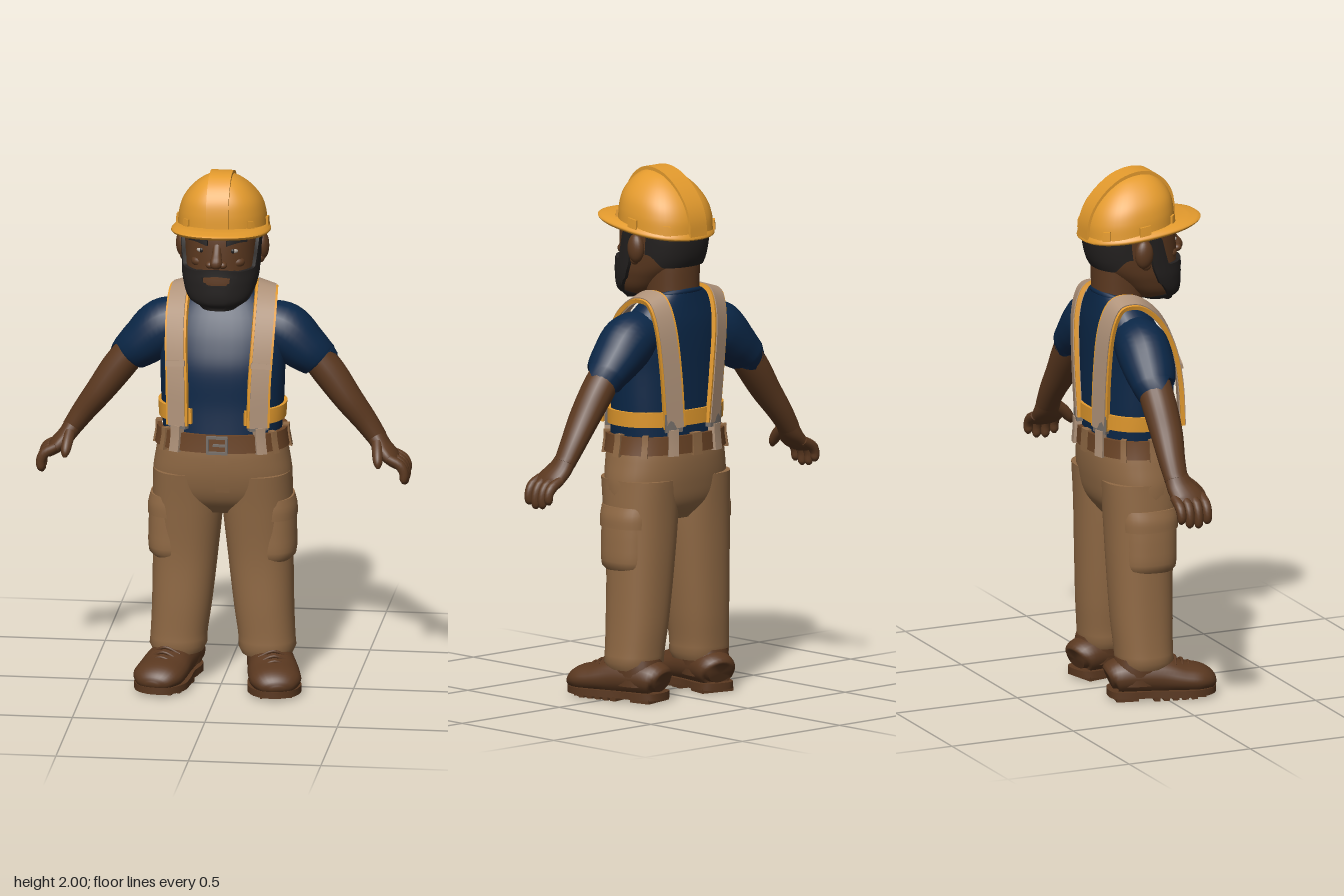
import * as THREE from 'three';
import { toCreasedNormals } from 'three/addons/utils/BufferGeometryUtils.js';

const V = (x, y, z) => new THREE.Vector3(x, y, z);
const clamp = THREE.MathUtils.clamp, step = THREE.MathUtils.smoothstep;
const paint = (name, color) => Object.assign(new THREE.MeshStandardMaterial({ color }), { name });

// smooth interpolation of rows keyed by their first column
function at(rows, k) {
  const n = rows.length - 1;
  k = clamp(k, rows[0][0], rows[n][0]);
  let i = 0;
  while (i < n - 1 && k > rows[i + 1][0]) i++;
  const slope = (j, c) => {
    const a = rows[Math.max(j - 1, 0)], b = rows[Math.min(j + 1, n)];
    return (b[c] - a[c]) / (b[0] - a[0]);
  };
  const d = rows[i + 1][0] - rows[i][0], t = (k - rows[i][0]) / d, t2 = t * t, t3 = t2 * t;
  return rows[i].map((v, c) => v * (2 * t3 - 3 * t2 + 1) + rows[i + 1][c] * (3 * t2 - 2 * t3)
    + d * (slope(i, c) * (t3 - 2 * t2 + t) + slope(i + 1, c) * (t3 - t2)));
}

// surface from a grid of points
function grid(nu, nv, fn) {
  const pos = [], idx = [], w = nu + 1;
  for (let j = 0; j <= nv; j++) for (let i = 0; i <= nu; i++) pos.push(...fn(i, j).toArray());
  for (let j = 0; j < nv; j++) for (let i = 0; i < nu; i++) {
    const a = j * w + i;
    idx.push(a, a + 1, a + w + 1, a, a + w + 1, a + w);
  }
  const g = new THREE.BufferGeometry();
  g.setAttribute('position', new THREE.Float32BufferAttribute(pos, 3));
  return g.setIndex(idx);
}

const round = (c) => Math.sign(c) * Math.abs(c) ** (2 / 2.3);
// point on a body of horizontal sections [y, cx, cz, rx, rz]; angle 0 is the front
function onBody(rows, y, a, off = 0) {
  const [, cx, cz, rx, rz] = at(rows, y);
  return V(cx + (rx + off) * round(Math.sin(a)), y, cz + (rz + off) * round(Math.cos(a)));
}
// closed body of horizontal sections
function body(rows, nu = 40, nv = 28) {
  const y0 = rows[0][0], y1 = rows[rows.length - 1][0];
  return grid(nu, nv + 2, (i, j) => {
    const y = y0 + (y1 - y0) * clamp((j - 1) / nv, 0, 1);
    if (j === 0 || j === nv + 2) { const s = at(rows, y); return V(s[1], y, s[2]); }
    return onBody(rows, y, (i % nu) / nu * 2 * Math.PI);
  });
}
// raised plate lying on a body; lo and hi may depend on the angle
function patch(rows, a0, a1, lo, hi, off, nu = 12, nv = 6) {
  const val = (f, a) => (typeof f === 'function' ? f(a) : f);
  return grid(nu + 2, nv + 2, (i, j) => {
    const edge = i === 0 || j === 0 || i === nu + 2 || j === nv + 2;
    const a = a0 + (a1 - a0) * clamp((i - 1) / nu, 0, 1);
    const y = THREE.MathUtils.lerp(val(lo, a), val(hi, a), clamp((j - 1) / nv, 0, 1));
    return onBody(rows, y, a, edge ? -0.008 : off);
  });
}
// sweep along points [x, y, z, r across, r along ref]; four sides make a flat strap
function sweep(pts, ref = V(0, 0, 1), nu = 20, per = 5, tilt = 0) {
  const rows = pts.map((p, i) => [i, ...p]), n = pts.length - 1, nv = n * per, flat = nu === 4;
  return grid(nu, nv + 2, (i, j) => {
    const k = clamp((j - 1) / nv, 0, 1) * n, s = at(rows, k), c = V(s[1], s[2], s[3]);
    if (j === 0 || j === nv + 2) return c;
    const p = at(rows, Math.max(k - 0.05, 0)), q = at(rows, Math.min(k + 0.05, n));
    const t = V(q[1] - p[1], q[2] - p[2], q[3] - p[3]).normalize();
    const e1 = ref.clone().addScaledVector(t, -ref.dot(t)).normalize();
    const e2 = t.clone().cross(e1);
    e1.applyAxisAngle(t, tilt); e2.applyAxisAngle(t, tilt);
    const a = (i % nu) / nu * 2 * Math.PI + (flat ? Math.PI / 4 : 0), m = flat ? Math.SQRT2 : 1;
    return c.addScaledVector(e1, Math.cos(a) * s[5] * m).addScaledVector(e2, Math.sin(a) * s[4] * m);
  });
}
const ball = (x, y, z, a, b, c) => new THREE.SphereGeometry(1, 20, 14).scale(a, b, c).translate(x, y, z);
const box = (x, y, z, w, h, d) => new THREE.BoxGeometry(w, h, d).translate(x, y, z);

export function createModel() {
  const yellow = paint('safety yellow', 0xe39a2d), navy = paint('navy cloth', 0x0b2747);
  const skin = paint('skin', 0x5c3920), khaki = paint('khaki cloth', 0x916a45);
  const boot = paint('boot leather', 0x5a3820), leather = paint('belt leather', 0x6b4426);
  const webbing = paint('strap webbing', 0xb0937a), hair = paint('black hair', 0x242120);
  const metal = paint('dull metal', 0x77706a), white = paint('eye white', 0xb8aea4);
  const model = new THREE.Group(), X = V(1, 0, 0);

  const add = (name, geo, mat) => {
    const g = toCreasedNormals(geo.scale(100, 100, 100), 0.85).scale(0.01, 0.01, 0.01);
    const mesh = new THREE.Mesh(g, mat);
    mesh.name = name;
    model.add(mesh);
    return g;
  };
  // adds a left part and its mirrored right part
  const pair = (name, geo, mat) => {
    const g = add('left ' + name, geo, mat).clone();
    for (const key of ['position', 'normal']) {
      const b = g.attributes[key], v = [0, 1, 2].map(() => V());
      for (let i = 0; i < b.count; i += 3) {
        v.forEach((p, k) => p.fromBufferAttribute(b, i + k));
        [0, 2, 1].forEach((s, k) => b.setXYZ(i + k, -v[s].x, v[s].y, v[s].z));
      }
    }
    const mesh = new THREE.Mesh(g, mat);
    mesh.name = 'right ' + name;
    model.add(mesh);
  };

  // trousers
  const hips = [[.68, 0, -.055, .2, .09], [.74, 0, -.052, .252, .135], [.82, 0, -.048, .262, .158],
    [.91, 0, -.047, .25, .167], [.99, 0, -.047, .236, .163]];
  const leg = [[.12, .168, -.055, .095, .098], [.14, .168, -.055, .107, .107], [.18, .166, -.057, .106, .108],
    [.3, .155, -.06, .112, .115], [.5, .142, -.062, .122, .122], [.7, .132, -.055, .132, .137], [.84, .13, -.05, .13, .152]];
  const pocket = [[.49, .185, -.05, .07, .09], [.51, .188, -.05, .088, .106], [.6, .188, -.05, .091, .11], [.7, .184, -.05, .09, .112]];
  const flap = [[.66, .185, -.05, .096, .116], [.7, .184, -.05, .096, .118], [.74, .18, -.05, .09, .116]];
  add('trouser hips', body(hips), khaki);
  add('trouser fly', patch(hips, -.02, .13, .78, .94, .004), khaki);
  pair('trouser leg', body(leg), khaki);
  pair('thigh pocket', body(pocket, 32, 10), khaki);
  pair('pocket flap', body(flap, 32, 6), khaki);

  // belt
  add('belt', patch(hips, 0, 2 * Math.PI, .94, 1.008, .009, 48, 2), leather);
  for (const a of [.95, 1.6, 2.2]) pair('belt loop', patch(hips, a - .06, a + .06, .93, 1.015, .016, 3, 3), khaki);
  add('rear belt loop', patch(hips, Math.PI - .06, Math.PI + .06, .93, 1.015, .016, 3, 3), khaki);
  for (const s of [-1, 1]) {
    add('buckle bar', box(0, .972 + s * .03, .132, .08, .01, .012), metal);
    add('buckle side', box(s * .036, .972, .132, .01, .06, .012), metal);
  }
  add('buckle pin', box(.01, .972, .132, .05, .008, .012), metal);

  // shirt
  const torso = [[.98, 0, -.045, .222, .158], [1.1, 0, -.05, .23, .153], [1.25, 0, -.053, .235, .15],
    [1.35, 0, -.068, .236, .135], [1.43, 0, -.085, .214, .115], [1.49, 0, -.1, .17, .092], [1.54, 0, -.11, .115, .075]];
  add('shirt body', body(torso), navy);
  pair('sleeve', sweep([[.14, 1.4, -.09, .085, .085], [.225, 1.368, -.088, .106, .102], [.3, 1.305, -.092, .092, .098],
    [.35, 1.262, -.1, .077, .084], [.357, 1.255, -.1, .072, .078]]), navy);
  add('collar', new THREE.TorusGeometry(.104, .012, 10, 40).rotateX(Math.PI / 2).scale(1.08, 1, .9).rotateX(.33)
    .translate(0, 1.518, -.088), navy);

  // suspenders with bright edging, over the shoulder
  const path = [[.152, 1.04, .108], [.155, 1.2, .098], [.162, 1.34, .068], [.165, 1.45, .016], [.163, 1.515, -.05],
    [.158, 1.535, -.11], [.15, 1.515, -.165], [.138, 1.42, -.197], [.118, 1.25, -.205], [.098, 1.04, -.203]];
  pair('suspender edging', sweep(path.map((p) => [...p, .008, .043]), X, 4, 5, .3), yellow);
  pair('suspender', sweep(path.map((p) => [...p, .012, .034]), X, 4, 5, .3), webbing);
  pair('chest clip', sweep([[.158, 1.265, .09, .016, .038], [.159, 1.285, .085, .016, .038]], X, 4, 2, .3), webbing);
  add('waist band', patch(torso, .38, 2 * Math.PI - .38, 1.045, 1.102, .012, 48, 2), yellow);
  for (const [a, w] of [[.64, .18], [2.74, .16]]) {
    pair('suspender buckle', patch(torso, a - w, a + w, 1.025, 1.095, .022, 6, 3), metal);
    pair('suspender tab', patch(hips, a - .09, a + .09, .935, 1.035, .019, 5, 3), webbing);
  }

  // arms and hands
  pair('arm', sweep([[.33, 1.29, -.1, .06, .065], [.4, 1.2, -.1, .062, .066], [.4675, 1.105, -.1, .054, .062],
    [.53, 1.02, -.108, .045, .052], [.578, .95, -.11, .037, .045]]), skin);
  pair('palm', sweep([[.565, .97, -.11, .037, .044], [.595, .925, -.1, .034, .055], [.63, .89, -.085, .03, .068],
    [.66, .862, -.085, .018, .06]]), skin);
  [[-.138, .022], [-.104, .004], [-.068, 0], [-.032, .012]].forEach(([z, up]) => pair('finger',
    sweep([[.625, .895, z, .018, .018], [.668, .872, z, .02, .019], [.685, .835 + up / 2, z, .018, .018],
      [.685, .8 + up, z, .015, .016], [.683, .787 + up, z, .005, .006]], V(0, 0, 1), 12, 3), skin));
  pair('thumb', sweep([[.58, .945, -.075, .022, .022], [.586, .91, -.035, .022, .021], [.59, .882, -.012, .018, .017],
    [.592, .863, -.004, .007, .007]], X, 12, 4), skin);

  // boots, toes turned out
  const place = (g) => g.rotateY(.22).translate(.18, 0, -.05);
  pair('boot upper', place(sweep([[0, .075, -.145, .04, .05], [0, .085, -.12, .065, .078], [0, .09, -.04, .075, .085],
    [0, .085, .05, .075, .09], [0, .072, .13, .06, .098], [0, .063, .2, .052, .095], [0, .05, .245, .034, .065],
    [0, .045, .262, .012, .025]], X, 24)), boot);
  pair('boot cuff', place(body([[.06, 0, -.035, .085, .1], [.12, 0, -.03, .084, .1], [.16, 0, -.025, .082, .095]], 32, 8)), boot);
  const half = [[.06, -.135], [.078, -.08], [.078, 0], [.096, .1], [.098, .18], [.062, .243]];
  const outline = [[0, -.15], ...half, [0, .264], ...half.map(([x, z]) => [-x, z]).reverse()];
  const rim = new THREE.CatmullRomCurve3(outline.map(([x, z]) => V(x, z, 0)), true).getPoints(48);
  const sole = new THREE.ExtrudeGeometry(new THREE.Shape(rim), { depth: .026, bevelEnabled: false });
  pair('boot sole', place(sole.rotateX(Math.PI / 2).translate(0, .038, 0)), boot);
  pair('boot heel', place(box(0, .008, -.085, .135, .016, .085)), boot);
  for (let i = 0; i < 6; i++) pair('boot tread', place(box(0, .008, .025 + i * .036, i > 4 ? .12 : .165, .016, .023)), boot);
  for (let i = 0; i < 4; i++) {
    const z = .075 + i * .026, y = .163 - i * .012;
    pair('boot lace', place(sweep([[-.055, y - .024, z, .006, .006], [0, y, z + .006, .006, .006],
      [.055, y - .024, z, .006, .006]], V(0, 0, 1), 8)), boot);
  }

  // head and neck
  const head = [[1.505, 0, .065, .05, .05], [1.53, 0, .042, .1, .094], [1.6, 0, .004, .128, .138], [1.65, 0, -.02, .134, .16],
    [1.72, 0, -.032, .138, .17], [1.78, 0, -.037, .14, .17], [1.84, 0, -.04, .135, .16]];
  add('neck', body([[1.4, 0, -.1, .115, .09], [1.5, 0, -.09, .1, .092], [1.64, 0, -.085, .1, .1]], 32, 10), skin);
  add('head', body(head), skin);
  pair('ear', ball(.148, 1.71, -.045, .028, .056, .036).rotateZ(0), skin);
  pair('ear lobe', ball(.145, 1.668, -.035, .016, .022, .02), skin);
  add('nose bridge', sweep([[0, 1.755, .125, .012, .016], [0, 1.72, .142, .017, .018], [0, 1.69, .158, .022, .024],
    [0, 1.672, .155, .008, .012]], X, 14), skin);
  pair('nostril', ball(.024, 1.684, .148, .017, .014, .017), skin);
  pair('eye', ball(.058, 1.733, .112, .021, .012, .016), white);
  pair('pupil', ball(.058, 1.733, .122, .009, .01, .008), hair);
  pair('brow', patch(head, .2, .78, (a) => 1.755 + .012 * Math.sin((a - .2) * 4), (a) => 1.774 + .01 * Math.sin((a - .2) * 4), .01), hair);
  pair('cheek', ball(.068, 1.685, .095, .034, .024, .028), skin);

  // hair and beard
  const jaw = (a) => 1.6 + .055 * step(Math.abs(a), .22, .45) + .12 * step(Math.abs(a), 1.1, 1.3);
  add('beard', patch(head, -1.5, 1.5, (a) => 1.497 + .09 * step(Math.abs(a), 1.2, 1.5), jaw, .014, 48, 14), hair);
  add('beard underside', ball(0, 1.532, .06, .1, .037, .08), hair);
  add('moustache', patch(head, -.48, .48, (a) => 1.64 - .02 * Math.abs(a), (a) => 1.662 - .01 * Math.abs(a), .016), hair);
  add('lips', patch(head, -.3, .3, 1.612, 1.63, .012), skin);
  const nape = (a) => 1.64 + .05 * step(Math.abs(a - Math.PI), .7, 1.25);
  add('back hair', patch(head, 1.85, 2 * Math.PI - 1.85, nape, 1.8, .012, 32, 8), hair);

  // hard hat, raised at the front
  const lean = new THREE.Matrix4().set(1, 0, 0, 0, 0, 1, .13, 1.79, 0, 0, 1, 0, 0, 0, 0, 1);
  const hat = (name, g) => add(name, g.applyMatrix4(lean), yellow);
  const dome = [[0, 0, -.05, .168, .176], [.06, 0, -.049, .162, .171], [.11, 0, -.045, .146, .155],
    [.155, 0, -.04, .113, .122], [.188, 0, -.035, .073, .08], [.203, 0, -.032, .04, .045], [.209, 0, -.03, .008, .009]];
  hat('hard hat shell', body(dome, 48, 36));
  hat('hard hat brim', body([[-.016, 0, 0, .176, .224], [-.01, 0, 0, .184, .233], [-.002, 0, 0, .184, .232], [.012, 0, -.022, .168, .203]], 48, 8));
  const front = dome.slice(0, 6).map(([y, , cz, , rz]) => [0, y, cz + rz, .007, .042]);
  const back = dome.slice(0, 6).reverse().map(([y, , cz, , rz]) => [0, y, cz - rz, .007, .042]);
  hat('hard hat ridge', sweep([...front, [0, .209, -.03, .007, .042], ...back], X, 4, 4));
  for (const a of [.75, 1.57, 2.4]) for (const s of [-1, 1])
    hat('hard hat clip', patch(dome, s * a - .09, s * a + .09, .005, .04, .008, 4, 3));

  return model;
}
